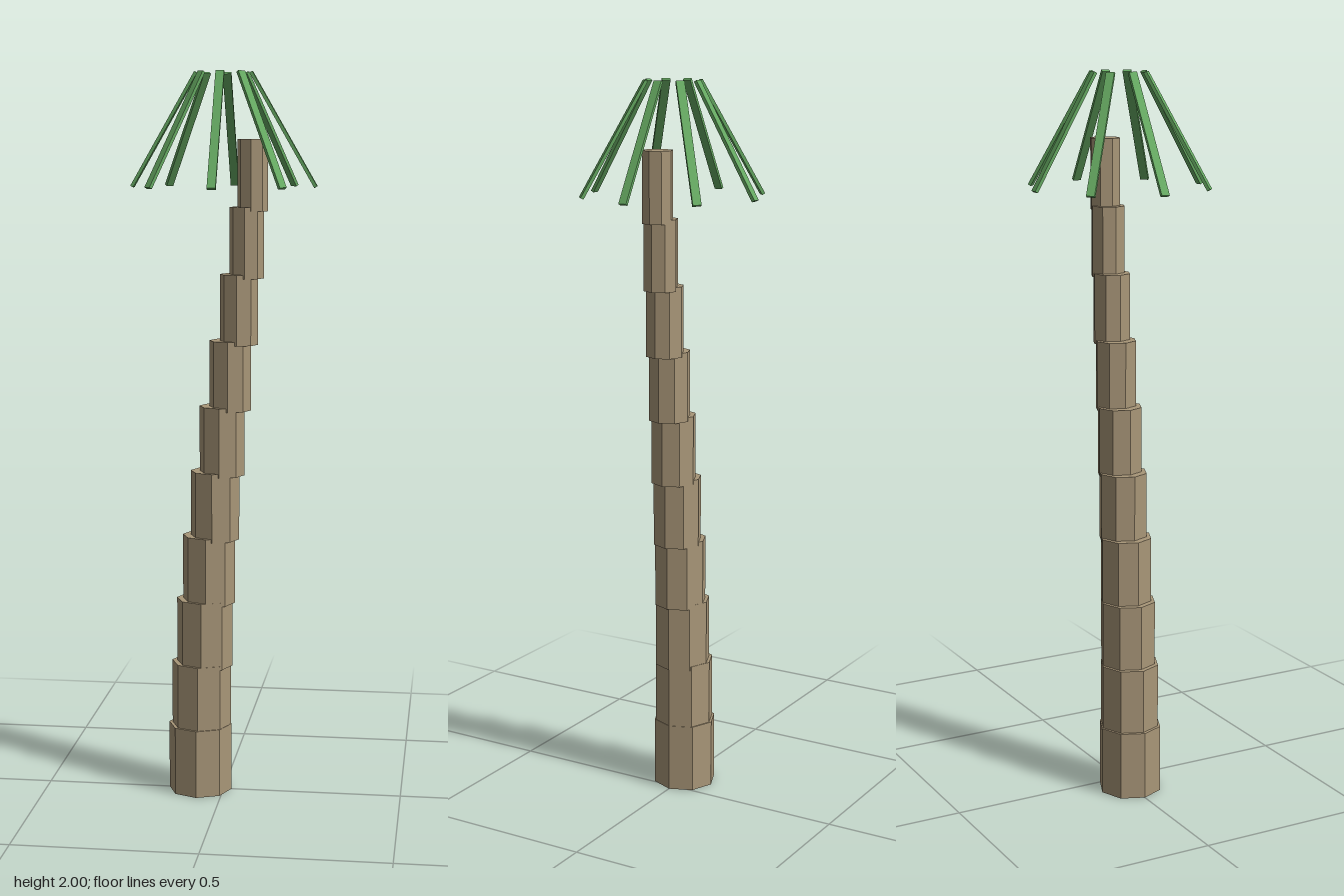
import * as THREE from 'three';

export function createModel() {
  const tree = new THREE.Group();
  tree.name = 'palmTree';
  const bark = new THREE.MeshStandardMaterial({ color: 0xa89678, flatShading: true });
  const leaf = new THREE.MeshStandardMaterial({ color: 0x66aa62, flatShading: true });

  // Trunk: stacked, slightly overlapping octagonal drums that shrink and drift to +x
  const trunk = new THREE.Group();
  trunk.name = 'trunk';
  const drift = [-0.066, -0.062, -0.053, -0.041, -0.024, -0.004, 0.018, 0.042, 0.063, 0.079];
  const pitch = 0.181, height = 0.192;
  drift.forEach((x, i) => {
    const r = 0.0885 - 0.0052 * i;
    const segment = new THREE.Mesh(new THREE.CylinderGeometry(r, r, height, 8), bark);
    segment.name = 'trunkSegment' + (i + 1);
    segment.position.set(x, pitch * i + height / 2, 0);
    trunk.add(segment);
  });
  tree.add(trunk);

  // Crown: a ring of eight thin fronds sloping down and outward at 60 degrees
  const crown = new THREE.Group();
  crown.name = 'crown';
  const frondGeometry = new THREE.BoxGeometry(0.351, 0.009, 0.023);
  frondGeometry.rotateZ(-Math.PI / 3);
  frondGeometry.translate(0.162, 1.846, 0);
  for (let i = 0; i < 8; i++) {
    const frond = new THREE.Mesh(frondGeometry, leaf);
    frond.name = 'frond' + (i + 1);
    frond.rotation.y = (i * Math.PI) / 4;
    crown.add(frond);
  }
  tree.add(crown);
  return tree;
}
